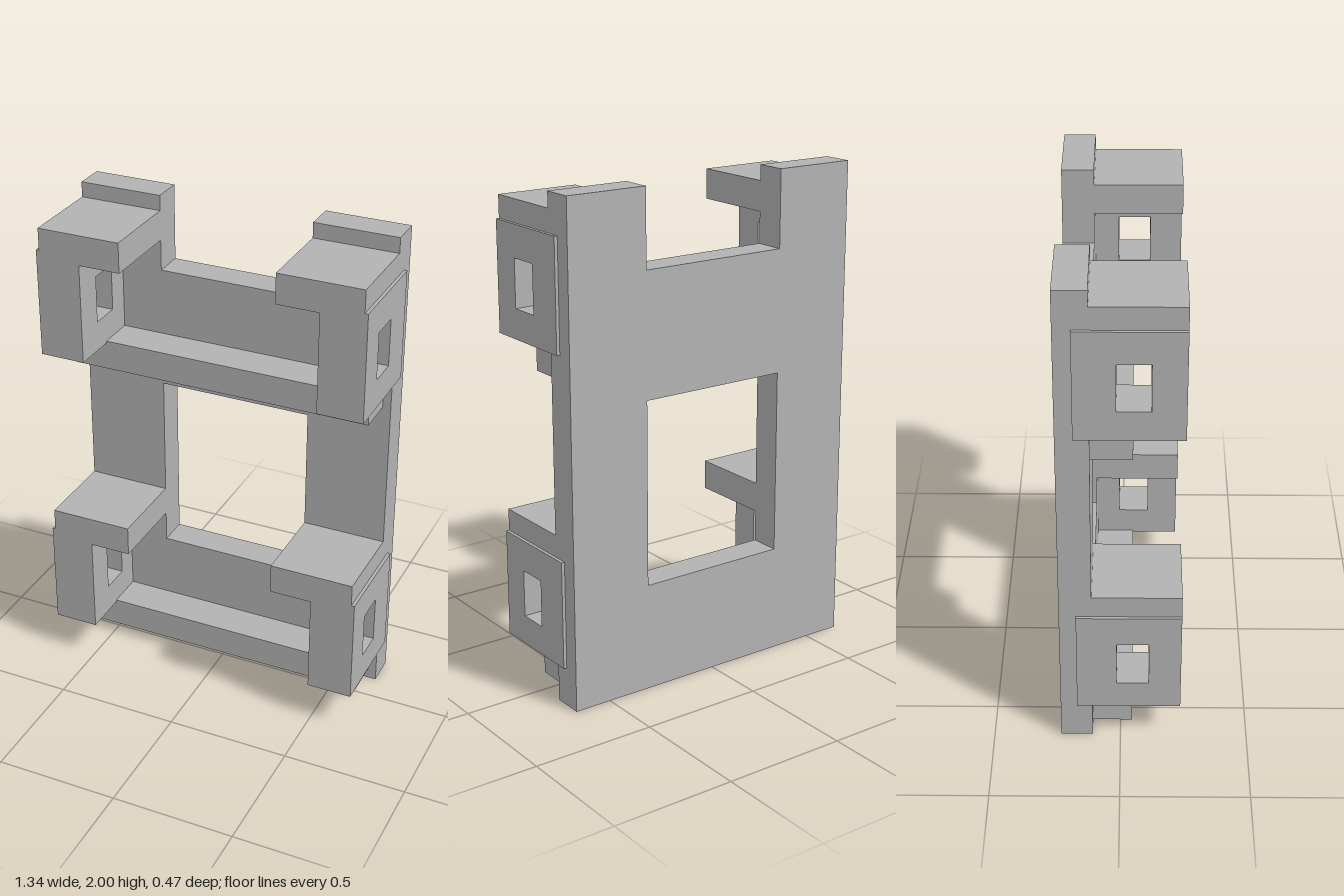
import * as THREE from 'three';

const grey = new THREE.MeshStandardMaterial({ color: 0xb2b2b2 });
grey.name = 'grey';

// Box given by its limits on each axis
function box(name, [x0, x1], [y0, y1], [z0, z1]) {
  const geo = new THREE.BoxGeometry(x1 - x0, y1 - y0, z1 - z0);
  geo.translate((x0 + x1) / 2, (y0 + y1) / 2, (z0 + z1) / 2);
  const mesh = new THREE.Mesh(geo, grey);
  mesh.name = name;
  return mesh;
}

function rect(path, u0, u1, v0, v1) {
  path.moveTo(u0, v0);
  path.lineTo(u1, v0);
  path.lineTo(u1, v1);
  path.lineTo(u0, v1);
  path.closePath();
  return path;
}

// Upright side plate pierced by a rectangular slot, thick along x
function slottedPlate(name, [x0, x1], [y0, y1], [z0, z1]) {
  const shape = rect(new THREE.Shape(), -z1, -z0, y0, y1);
  shape.holes.push(rect(new THREE.Path(), -0.11, 0.015, 0.28, 0.472));
  const geo = new THREE.ExtrudeGeometry(shape, { depth: x1 - x0, bevelEnabled: false });
  geo.rotateY(Math.PI / 2);
  geo.translate(x0, 0, 0);
  const mesh = new THREE.Mesh(geo, grey);
  mesh.name = name;
  return mesh;
}

// Back panel with a notch in the top and a window
function makeBackPanel() {
  const w = 0.655, n = 0.315;
  const shape = new THREE.Shape([
    [-w, 0], [w, 0], [w, 2], [n, 2], [n, 1.69], [-n, 1.69], [-n, 2], [-w, 2],
  ].map(([x, y]) => new THREE.Vector2(x, y)));
  shape.holes.push(rect(new THREE.Path(), -n, n, 0.44, 1.19));
  const geo = new THREE.ExtrudeGeometry(shape, { depth: 0.125, bevelEnabled: false });
  geo.translate(0, 0, -0.235);
  const mesh = new THREE.Mesh(geo, grey);
  mesh.name = 'backPanel';
  return mesh;
}

// One tier: a cross ledge and a pair of slotted brackets with roofs
function makeTier(name) {
  const tier = new THREE.Group();
  tier.name = name;
  tier.add(box('ledge', [-0.622, 0.622], [0.047, 0.168], [-0.11, 0.046]));
  for (const [side, s] of [['left', 1], ['right', -1]]) {
    const span = (a, b) => (s > 0 ? [a, b] : [-b, -a]);
    tier.add(
      box(side + 'Roof', span(0.315, 0.655), [0.568, 0.69], [-0.11, 0.235]),
      slottedPlate(side + 'Cheek', span(0.485, 0.655), [0.16, 0.568], [-0.11, 0.235]),
      slottedPlate(side + 'OuterPlate', span(0.655, 0.668), [0.16, 0.6], [-0.17, 0.235]),
    );
  }
  return tier;
}

export function createModel() {
  const model = new THREE.Group();
  model.name = 'bracketFrame';
  const lower = makeTier('lowerTier');
  const upper = makeTier('upperTier');
  upper.position.y = 1.248;
  model.add(makeBackPanel(), lower, upper);
  return model;
}
